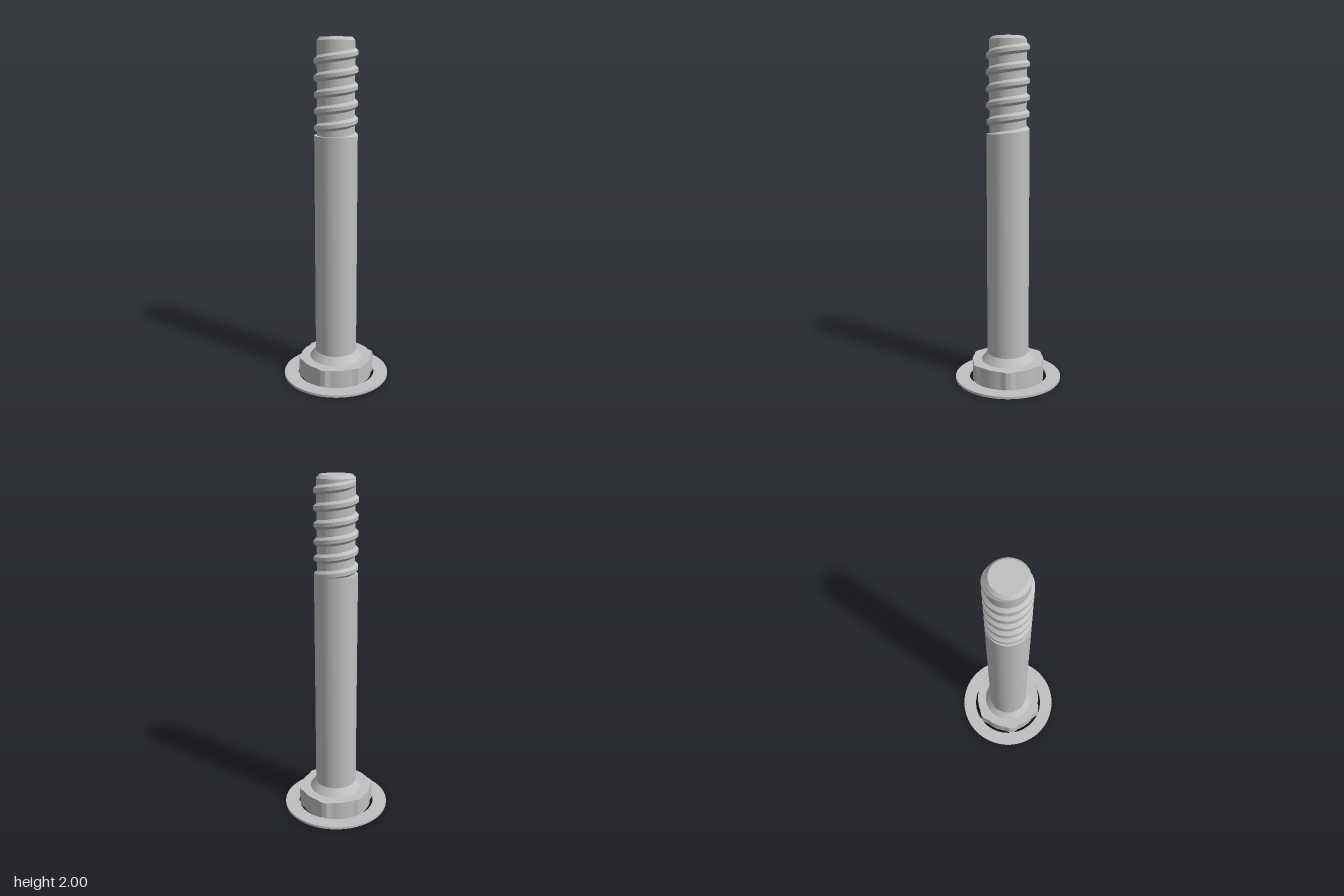
import * as THREE from 'three';
import { toCreasedNormals } from 'three/addons/utils/BufferGeometryUtils.js';

const steel = new THREE.MeshStandardMaterial({ color: 0xc0c0c0 });
steel.name = 'plain grey';

const HEAD_TOP = 0.115, RECESS = 0.06, BRIM = 0.014;
const CORE = 0.106, CREST = 0.123, PITCH = 0.092;

function part(name, geometry, crease = 0.25) {
  const mesh = new THREE.Mesh(toCreasedNormals(geometry, crease), steel);
  mesh.name = name;
  return mesh;
}

// Upright slab made from a plan shape
function slab(shape, y0, y1) {
  const g = new THREE.ExtrudeGeometry(shape, { depth: y1 - y0, bevelEnabled: false, curveSegments: 64 });
  return g.rotateX(-Math.PI / 2).translate(0, y0, 0);
}

// Head plan: a disc merged with a hexagon whose corners are trimmed
function headShape() {
  const points = [];
  for (let i = 0; i < 180; i++) {
    const a = (i / 180) * Math.PI * 2;
    const fromFlat = (a % (Math.PI / 3)) - Math.PI / 6;
    const r = Math.max(0.213, Math.min(0.203 / Math.cos(fromFlat), 0.226));
    points.push(new THREE.Vector2(r * Math.cos(a), r * Math.sin(a)));
  }
  return new THREE.Shape(points);
}

// Cross outline for the driver recess
function crossPath() {
  const l = 0.09, w = 0.013;
  const points = [];
  for (let k = 0; k < 4; k++) {
    for (const [x, y] of [[l, -w], [l, w], [w, w]]) {
      points.push(new THREE.Vector2(x, y).rotateAround(new THREE.Vector2(), k * Math.PI / 2));
    }
  }
  return new THREE.Path(points);
}

// Trapezoid ridge swept along a right-handed helix, fading out at the top
function threadGeometry() {
  const perTurn = 64, turns = 5.9, n = Math.round(perTurn * turns);
  const yEnd = 1.968, yStart = yEnd - PITCH * turns;
  const phase = Math.PI + ((1.95 - yStart) / PITCH) * Math.PI * 2;
  const positions = [], index = [];
  for (let i = 0; i <= n; i++) {
    const t = i / perTurn;
    const a = phase - t * Math.PI * 2;
    const y = yStart + t * PITCH;
    const fade = Math.min(1, (turns - t) / 0.3);
    const crest = CORE - 0.004 + (CREST - CORE + 0.004) * fade;
    const section = [[CORE - 0.004, -0.029], [crest, -0.01], [crest, 0.01], [CORE - 0.004, 0.029]];
    for (const [r, dy] of section) {
      positions.push(r * Math.cos(a), Math.min(y + dy, 1.982), r * Math.sin(a));
    }
    if (i === n) break;
    for (let j = 0; j < 3; j++) {
      const p = i * 4 + j, q = p + 4;
      index.push(p, q, q + 1, p, q + 1, p + 1);
    }
  }
  const g = new THREE.BufferGeometry();
  g.setAttribute('position', new THREE.Float32BufferAttribute(positions, 3));
  g.setIndex(index);
  return g;
}

export function createModel() {
  const model = new THREE.Group();
  model.name = 'bolt';

  // Head, with the cross recess open at the bottom
  const lower = headShape();
  lower.holes.push(crossPath());
  model.add(part('headLower', slab(lower, 0, RECESS)));
  model.add(part('headUpper', slab(headShape(), RECESS, HEAD_TOP)));

  // Tapered collar, plain shank, thread core and chamfered tip
  const profile = [
    [0.157, HEAD_TOP], [CREST, 0.16], [CREST, 1.463], [CORE, 1.463],
    [CORE, 1.982], [0.09, 2], [0, 2],
  ].map(([r, y]) => new THREE.Vector2(r, y));
  model.add(part('shank', new THREE.LatheGeometry(profile, 64), 0.4));
  model.add(part('thread', threadGeometry(), 0.4));

  // Thin flat ring around the head
  const ring = new THREE.Shape().absarc(0, 0, 0.315, 0, Math.PI * 2, false);
  ring.holes.push(new THREE.Path().absarc(0, 0, 0.231, 0, Math.PI * 2, true));
  model.add(part('brim', slab(ring, 0, BRIM)));

  // Six small tabs joining the ring to the head corners
  for (let k = 0; k < 6; k++) {
    const tab = new THREE.BoxGeometry(0.018, BRIM - 0.002, 0.028);
    tab.translate(0.2245, BRIM / 2, 0).rotateY(k * Math.PI / 3);
    model.add(part('brimTab' + (k + 1), tab));
  }
  return model;
}
